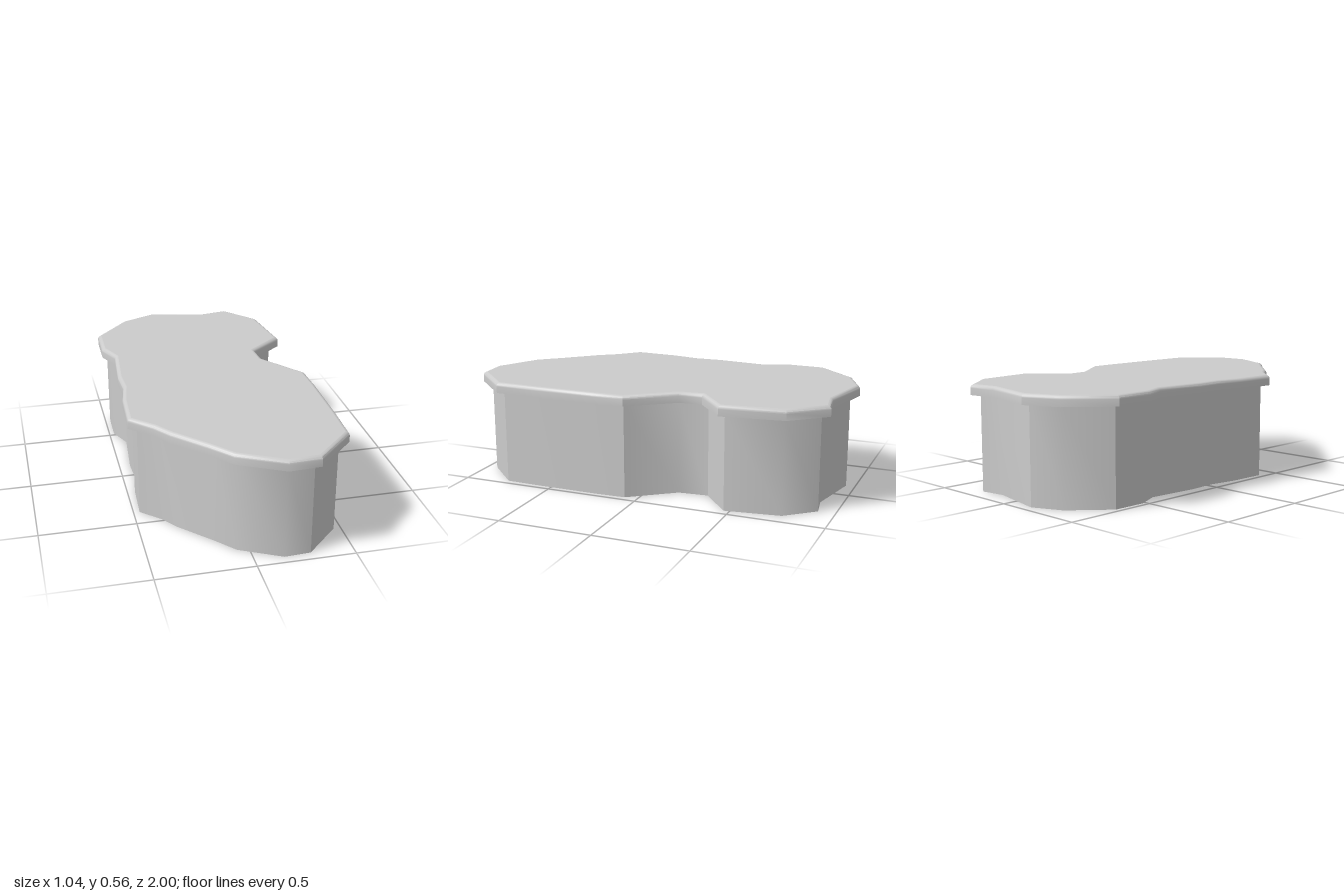
import * as THREE from 'three';
import { toCreasedNormals } from 'three/addons/utils/BufferGeometryUtils.js';

// Plan outline as [x, z], running from the back round by +x to the front
const OUTLINE = [
  [-0.155, -1], [0.155, -0.935], [0.305, -0.96], [0.46, -0.78], [0.505, -0.45],
  [0.325, -0.3], [0.335, -0.18], [0.51, 0.055], [0.516, 0.22], [0.515, 0.555],
  [0.508, 0.785], [0.305, 0.99], [0.14, 1], [-0.09, 0.88], [-0.185, 0.77],
  [-0.34, 0.605], [-0.405, 0.515], [-0.515, 0.41], [-0.505, 0.175], [-0.48, 0.03],
  [-0.487, -0.11], [-0.465, -0.385], [-0.52, -0.51], [-0.517, -0.715], [-0.335, -0.92],
];
const RIM_BOTTOM = 0.5, TOP = 0.555, OVERHANG = 0.046, BEVEL = 0.02;

// Outline moved inwards by d with mitred corners
function inset(d) {
  const n = OUTLINE.length;
  const normal = (i) => {
    const a = OUTLINE[(i + n) % n], b = OUTLINE[(i + 1) % n];
    return new THREE.Vector2(b[1] - a[1], a[0] - b[0]).normalize();
  };
  return OUTLINE.map(([x, z], i) => {
    const n1 = normal(i - 1), n2 = normal(i);
    const k = d / (1 + n1.dot(n2));
    return [x - (n1.x + n2.x) * k, z - (n1.y + n2.y) * k];
  });
}

// Skin through rings given as [inset, y]
function loft(profile) {
  const rings = profile.map(([d, y]) => inset(d).map(([x, z]) => [x, y, z]));
  const pos = [];
  for (let r = 0; r < rings.length - 1; r++) {
    const lo = rings[r], hi = rings[r + 1];
    lo.forEach((a, i) => {
      const j = (i + 1) % lo.length;
      pos.push(...a, ...hi[i], ...hi[j], ...a, ...hi[j], ...lo[j]);
    });
  }
  const g = new THREE.BufferGeometry();
  g.setAttribute('position', new THREE.Float32BufferAttribute(pos, 3));
  return toCreasedNormals(g, 0.6);
}

export function createModel() {
  const group = new THREE.Group();
  const material = new THREE.MeshStandardMaterial({ color: 0xcccccc, side: THREE.DoubleSide });
  const add = (name, geometry) => {
    const mesh = new THREE.Mesh(geometry, material);
    mesh.name = name;
    group.add(mesh);
  };

  // Thin wall, open at the bottom
  add('wall', loft([[OVERHANG, 0], [OVERHANG, RIM_BOTTOM]]));

  // Overhanging rim: flat underside, upright edge, rounded top edge
  const rim = [[OVERHANG, RIM_BOTTOM], [0, RIM_BOTTOM]];
  const steps = 4;
  for (let i = 0; i <= steps; i++) {
    const a = (i / steps) * Math.PI / 2;
    rim.push([BEVEL * (1 - Math.cos(a)), TOP - BEVEL * (1 - Math.sin(a))]);
  }
  add('rim', loft(rim));

  // Flat top surface
  const shape = new THREE.Shape(inset(BEVEL).map(([x, z]) => new THREE.Vector2(x, -z)));
  add('top', new THREE.ShapeGeometry(shape).rotateX(-Math.PI / 2).translate(0, TOP, 0));

  return group;
}
